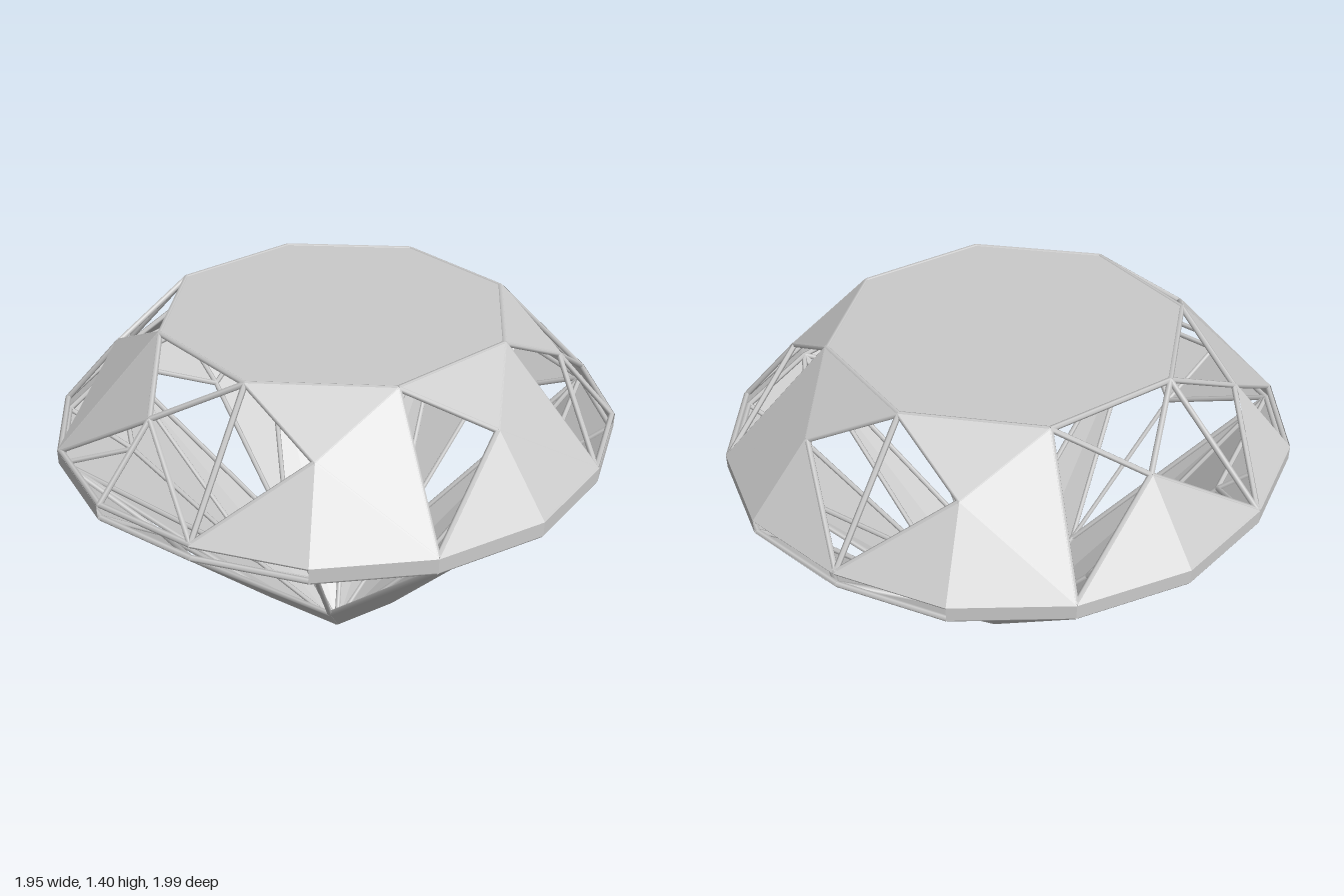
import * as THREE from 'three';
import { mergeGeometries } from 'three/addons/utils/BufferGeometryUtils.js';

const CENTRE = new THREE.Vector3(0, 0.9, 0);
const wrap = (i) => (i + 16) % 16;

// point on the cut at step i of 16 round the stone, starting at the front
function ring(i, r, y) {
  const a = (i * Math.PI) / 8;
  return new THREE.Vector3(0.98 * r * Math.sin(a), y, r * Math.cos(a));
}
const girdleR = (i) => (wrap(i) % 4 === 0 ? 0.997 : 1.015);
const table = (i) => ring(i, 0.635, 1.4);
const star = (i) => ring(i, 0.8, 1.25);
const upper = (i) => ring(i, girdleR(i), 1.015);
const lower = (i) => ring(i, girdleR(i), 0.965);
const high = (i) => ring(i, 0.79, 0.8);
const low = (i) => ring(i, 0.32, 0.3);
const culet = new THREE.Vector3(0, 0.005, 0);

// facets left out, as odd step + its even neighbour
const OPEN = {
  star: ['11', '13', '15'],
  bezel: ['1,0', '3,2', '5,4', '5,6', '7,8', '9,8', '11,10', '11,12', '13,12', '15,0'],
  crown: ['15,14', '15,0', '5,4', '5,6', '13,14'],
  pavilion: ['1,0', '1,2', '3,4', '5,4', '7,6', '11,12', '15,14', '15,0'],
};

// flat facets, each fan turned to face outward
function facets(polys) {
  const out = [];
  for (const p of polys) {
    for (let k = 1; k < p.length - 1; k++) {
      let [a, b, c] = [p[0], p[k], p[k + 1]];
      const n = b.clone().sub(a).cross(c.clone().sub(a));
      if (n.dot(a.clone().sub(CENTRE)) < 0) [b, c] = [c, b];
      for (const v of [a, b, c]) out.push(v.x, v.y, v.z);
    }
  }
  const g = new THREE.BufferGeometry();
  g.setAttribute('position', new THREE.Float32BufferAttribute(out, 3));
  g.computeVertexNormals();
  return g;
}

// slim bar just inside an edge
function strut([p, q]) {
  const inset = (v) => v.clone().sub(CENTRE).multiplyScalar(0.988).add(CENTRE);
  const a = inset(p), b = inset(q);
  const d = b.clone().sub(a);
  const g = new THREE.CylinderGeometry(0.01, 0.01, d.length(), 6);
  g.applyQuaternion(new THREE.Quaternion().setFromUnitVectors(
    new THREE.Vector3(0, 1, 0), d.clone().normalize()));
  const m = a.add(b).multiplyScalar(0.5);
  return g.translate(m.x, m.y, m.z);
}

export function createModel() {
  const silver = new THREE.MeshStandardMaterial({ color: 0xcacaca, side: THREE.DoubleSide });
  silver.name = 'silver grey';
  const group = new THREE.Group();
  group.name = 'cutGem';
  const add = (name, geometry) => {
    const mesh = new THREE.Mesh(geometry, silver);
    mesh.name = name;
    group.add(mesh);
  };

  const parts = { starFacets: [], bezelFacets: [], crownFacets: [], girdleBand: [],
    girdleUndersides: [], pavilionFacets: [], pavilionMains: [] };
  const edges = [];

  for (let s = 1; s < 16; s += 2) {
    // star facet beside the table
    if (!OPEN.star.includes(String(s))) {
      parts.starFacets.push([table(s - 1), table(s + 1), star(s)]);
    }
    edges.push([table(s - 1), table(s + 1)], [star(s), upper(s)],
      [lower(s), high(s)], [high(s), low(s)], [low(s), culet]);
    edges.push([table(s - 1), upper(s - 1)]);

    // mirrored facets on either side of the odd step
    for (const e of [s - 1, s + 1]) {
      const key = s + ',' + wrap(e);
      if (!OPEN.bezel.includes(key)) parts.bezelFacets.push([table(e), star(s), upper(e)]);
      if (!OPEN.crown.includes(key)) parts.crownFacets.push([star(s), upper(e), upper(s)]);
      if (!OPEN.pavilion.includes(key)) parts.pavilionFacets.push([high(s), lower(e), low(s)]);
      parts.girdleUndersides.push([lower(e), lower(s), high(s)]);
      parts.pavilionMains.push([lower(e), low(s), culet]);
      // a few gaps in the band at front and back
      if (![0, 8].includes(wrap(e))) {
        parts.girdleBand.push([upper(e), upper(s), lower(s), lower(e)]);
      }
      edges.push([table(e), star(s)], [star(s), upper(e)], [upper(e), upper(s)],
        [lower(e), lower(s)], [lower(e), high(s)], [lower(e), low(s)]);
    }
  }

  // flat top
  add('table', facets([[0, 2, 4, 6, 8, 10, 12, 14].map(table)]));
  for (const [name, polys] of Object.entries(parts)) add(name, facets(polys));
  add('edgeStruts', mergeGeometries(edges.map(strut)));
  return group;
}
